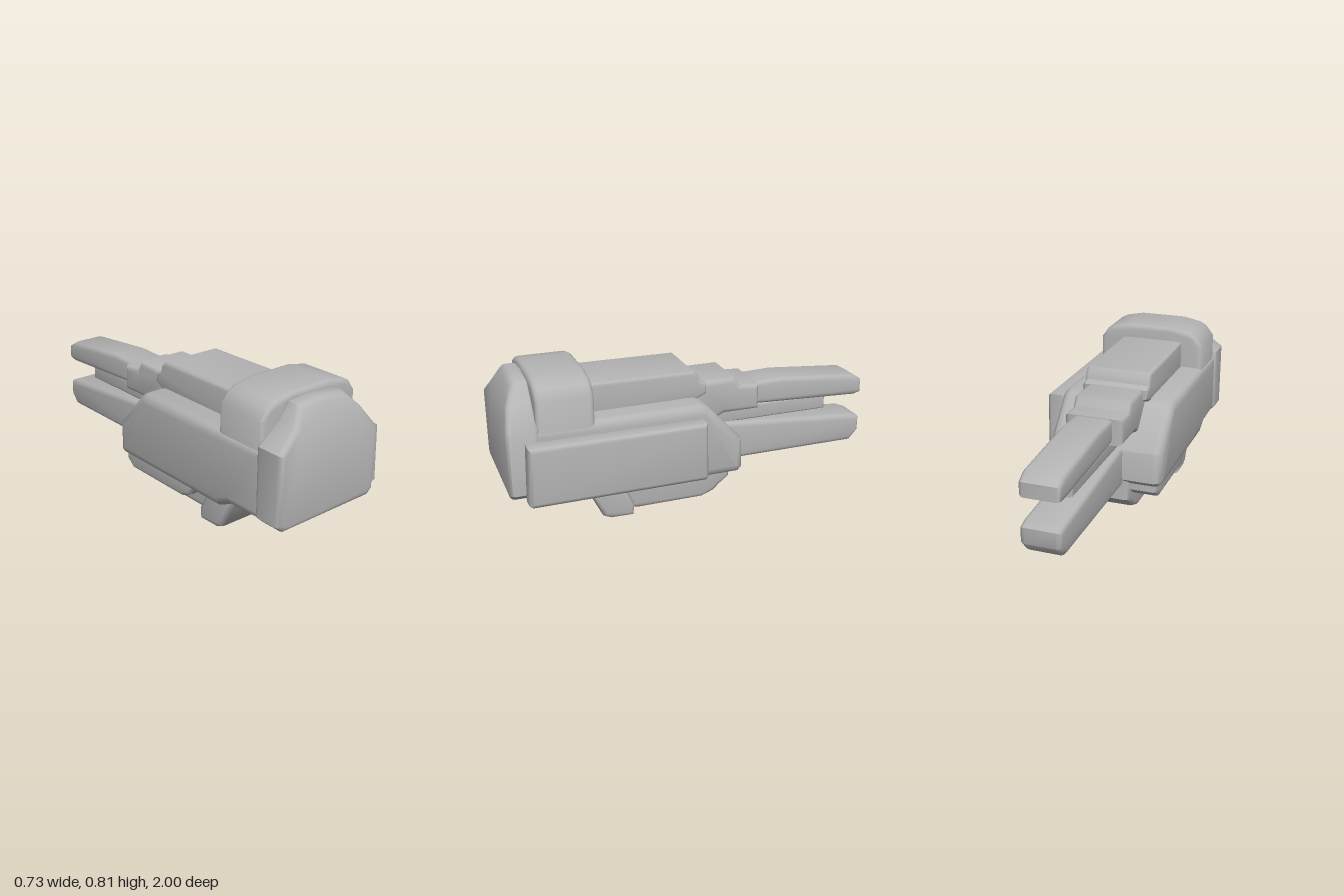
import * as THREE from 'three';
import { toCreasedNormals } from 'three/addons/utils/BufferGeometryUtils.js';

export function createModel() {
  const group = new THREE.Group();
  const grey = new THREE.MeshStandardMaterial({ color: 0xb4b4b4 });
  grey.name = 'plain grey';

  // Bevelled slab whose outline, bevel included, fills the given points
  function slab(points, depth, bevel) {
    const shape = new THREE.Shape(points.map(([a, b]) => new THREE.Vector2(a, b)));
    const geometry = new THREE.ExtrudeGeometry(shape, {
      depth: depth - 2 * bevel, bevelEnabled: true, bevelThickness: bevel,
      bevelSize: bevel, bevelOffset: -bevel, bevelSegments: 3, steps: 1,
    });
    return geometry.translate(0, 0, bevel - depth / 2);
  }

  function add(name, geometry) {
    const mesh = new THREE.Mesh(toCreasedNormals(geometry, 0.75), grey);
    mesh.name = name;
    group.add(mesh);
  }

  // Side outline in [z, y], stretched from x0 to x1
  function side(name, x0, x1, bevel, points) {
    const geometry = slab(points, x1 - x0, bevel);
    geometry.rotateY(-Math.PI / 2).translate((x0 + x1) / 2, 0, 0);
    add(name, geometry);
  }

  // Front outline in [x, y], stretched from z0 to z1
  function front(name, z0, z1, bevel, points, bend) {
    const geometry = slab(points, z1 - z0, bevel).translate(0, 0, (z0 + z1) / 2);
    if (bend) bend(geometry.attributes.position);
    add(name, geometry);
  }

  // Main hull with sloping nose
  side('mainBody', -0.355, 0.255, 0.045, [
    [0.88, 0.24], [0.88, 0.59], [0.03, 0.595], [-0.01, 0.58], [-0.2, 0.38],
    [-0.205, 0.22], [-0.18, 0.195], [0.58, 0.195], [0.66, 0.235],
  ]);

  // End plate: its upper face leans back
  front('endPlate', 0.84, 1, 0.025, [
    [-0.33, 0.235], [0.22, 0.235], [0.255, 0.265], [0.255, 0.585], [0.165, 0.7],
    [0.085, 0.78], [-0.07, 0.79], [-0.195, 0.78], [-0.25, 0.7], [-0.363, 0.61],
    [-0.363, 0.265],
  ], (p) => {
    for (let i = 0; i < p.count; i++) {
      if (p.getZ(i) > 0.92) p.setZ(i, p.getZ(i) - Math.max(0, p.getY(i) - 0.64) * 0.5);
    }
  });

  // Raised collar in front of the end plate
  front('collar', 0.57, 0.855, 0.025, [
    [-0.343, 0.26], [0.25, 0.26], [0.25, 0.72], [0.215, 0.77], [0.18, 0.79],
    [0.085, 0.81], [-0.165, 0.81], [-0.265, 0.79], [-0.3, 0.77], [-0.343, 0.715],
  ]);

  // Plate on the left flank
  side('sidePanel', 0.26, 0.362, 0.022, [
    [0.93, 0.25], [0.92, 0.54], [0.035, 0.54], [0.028, 0.25], [0.045, 0.238], [0.915, 0.238],
  ]);

  // Top cover and stepped nose block
  side('topCover', -0.225, 0.125, 0.018, [
    [0.6, 0.57], [0.6, 0.735], [0.02, 0.73], [-0.005, 0.705], [-0.015, 0.67],
    [-0.05, 0.655], [-0.05, 0.605], [0.02, 0.57],
  ]);
  side('noseBlock', -0.2, 0.1, 0.025, [
    [0.1, 0.45], [0.1, 0.64], [-0.03, 0.657], [-0.22, 0.657], [-0.25, 0.61],
    [-0.355, 0.605], [-0.357, 0.47], [-0.16, 0.47], [-0.1, 0.44],
  ]);

  // Barrels and the bar between them
  side('upperBarrel', -0.146, 0.056, 0.025, [
    [-0.3, 0.48], [-0.3, 0.6], [-0.52, 0.607], [-0.94, 0.57], [-1, 0.535],
    [-1, 0.462], [-0.96, 0.45],
  ]);
  side('lowerBarrel', -0.146, 0.056, 0.025, [
    [-0.1, 0.18], [-0.1, 0.395], [-0.22, 0.392], [-0.95, 0.335], [-1, 0.315],
    [-1, 0.235], [-0.95, 0.18],
  ]);
  side('middleBar', -0.115, 0.025, 0.012, [
    [-0.08, 0.385], [-0.08, 0.468], [-0.79, 0.468], [-0.79, 0.385],
  ]);

  // Underside parts
  side('underBlock', -0.182, 0.092, 0.022, [
    [0.4, 0.02], [0.4, 0.23], [-0.195, 0.23], [-0.195, 0.1], [-0.14, 0.06],
    [-0.11, 0.03], [-0.04, 0.004], [0.31, 0.004],
  ]);
  side('rearStrut', -0.285, 0.19, 0.025, [
    [0.62, 0.22], [0.53, 0.04], [0.49, 0.022], [0.37, 0.02], [0.365, 0.08], [0.43, 0.22],
  ]);
  side('undersideLump', -0.325, -0.15, 0.02, [
    [0.34, 0.15], [0.38, 0.23], [-0.18, 0.23], [-0.18, 0.16], [-0.13, 0.12], [0.28, 0.12],
  ]);

  return group;
}
